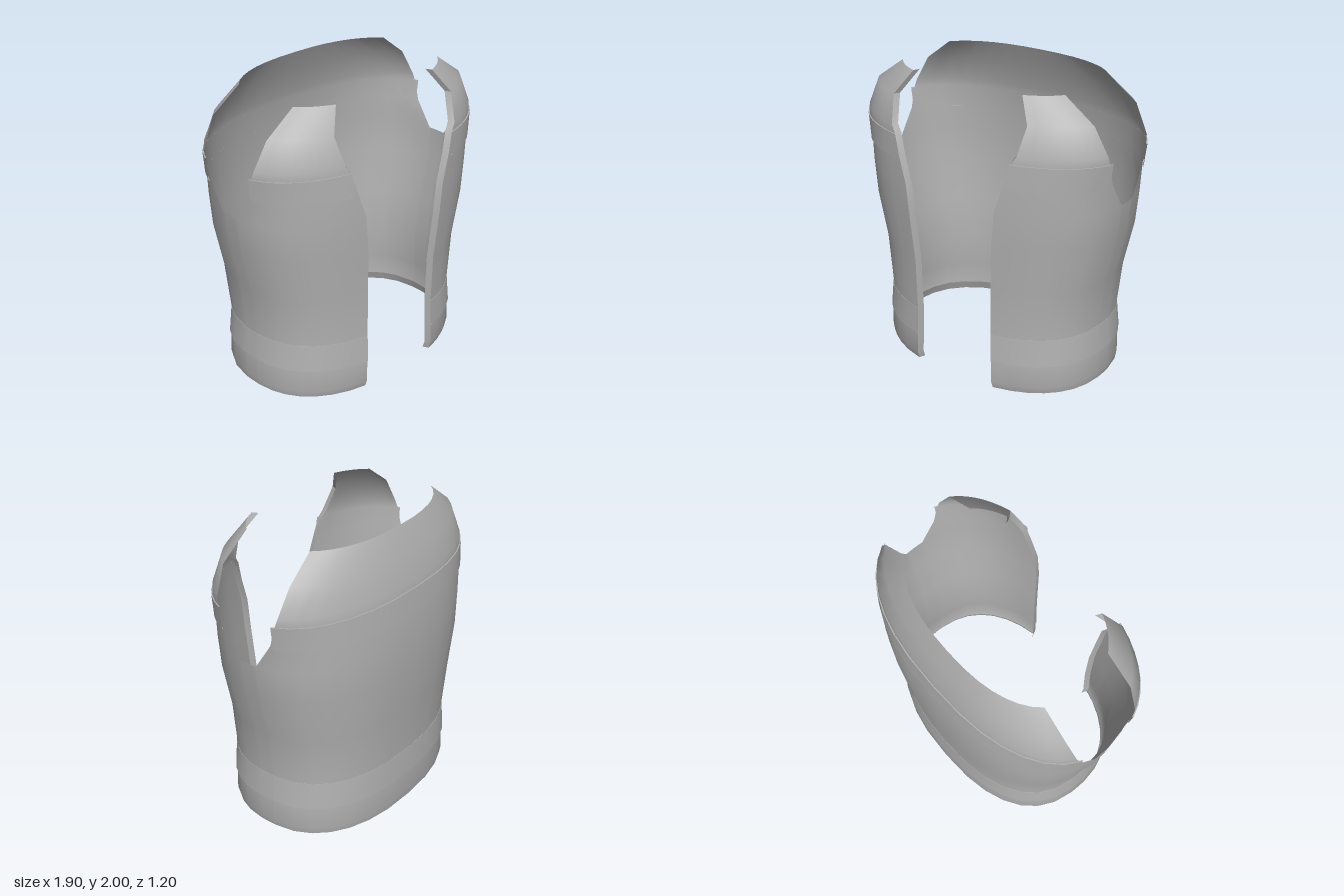
import * as THREE from 'three';
import { toCreasedNormals } from 'three/addons/utils/BufferGeometryUtils.js';

// height, half width, front depth, back depth, half width of the front opening
const PROFILE = [
  [0, 0.82, 0.6, 0.565, 0.312],
  [0.05, 0.83, 0.615, 0.572, 0.31],
  [0.21, 0.822, 0.61, 0.566, 0.306],
  [0.4, 0.81, 0.605, 0.56, 0.302],
  [0.75, 0.845, 0.605, 0.585, 0.306],
  [1.07, 0.915, 0.623, 0.6, 0.325],
  [1.3, 0.937, 0.625, 0.597, 0.347],
  [1.48, 0.95, 0.622, 0.582, 0.405],
  [1.62, 0.97, 0.612, 0.565, 0.445],
  [1.67, 0.97, 0.607, 0.555, 0.48],
  [1.85, 0.9, 0.555, 0.5, 0.51],
  [2, 0.7, 0.465, 0.435, 0.415],
];
// height, front edge z and back edge z of the armhole
const ARMHOLE = [
  [1.3, 0.08, -0.055],
  [1.48, 0.19, -0.17],
  [1.67, 0.245, -0.225],
  [1.85, 0.265, -0.245],
  [2, 0.26, -0.235],
];
const POWER = 2.4; // roundness of the cross-section
const STEPS = 7; // columns per panel

function sample(table, y, k) {
  if (y <= table[0][0]) return table[0][k];
  for (let i = 1; i < table.length; i++) {
    const a = table[i - 1], b = table[i];
    if (y <= b[0]) return a[k] + ((b[k] - a[k]) * (y - a[0])) / (b[0] - a[0]);
  }
  return table[table.length - 1][k];
}

// Point on the garment: t runs 0..1 over the front panel, 1..2 under the arm, 2..3 to the back centre
function surfacePoint(t, side, { y, off = 0 }, cut = {}) {
  const [w, front, back, open] = [1, 2, 3, 4].map((k) => sample(PROFILE, y, k));
  const zFront = cut.front ?? sample(ARMHOLE, y, 1);
  const zBack = cut.back ?? sample(ARMHOLE, y, 2);
  const stops = [
    Math.acos(Math.pow((cut.open ?? open) / w, POWER / 2)),
    Math.asin(Math.pow(zFront / front, POWER / 2)),
    -Math.asin(Math.pow(-zBack / back, POWER / 2)),
    -Math.PI / 2,
  ];
  const i = Math.min(2, Math.floor(t));
  const angle = stops[i] + (stops[i + 1] - stops[i]) * (t - i);
  const c = Math.max(0, Math.cos(angle)), s = Math.sin(angle);
  const x = (w + off) * Math.pow(c, 2 / POWER);
  const z = Math.sign(s) * ((s > 0 ? front : back) + off) * Math.pow(Math.abs(s), 2 / POWER);
  return [side * x, y, z];
}

// Join rows of points into a surface, leaving out the cells that skip() names
function gridGeometry(rows, skip = () => false) {
  const n = rows[0].length, index = [];
  for (let j = 0; j < rows.length - 1; j++) {
    for (let i = 0; i < n - 1; i++) {
      if (skip(i, j)) continue;
      const a = j * n + i, b = a + 1, c = a + n, d = c + 1;
      index.push(a, b, d, a, d, c);
    }
  }
  const geometry = new THREE.BufferGeometry();
  geometry.setAttribute('position', new THREE.Float32BufferAttribute(rows.flat(2), 3));
  geometry.setIndex(index);
  return toCreasedNormals(geometry, 0.6);
}

// Columns as [t, side], running from the left front edge round the back to the right front edge
function columns(from, to) {
  const list = [];
  for (let i = from * STEPS; i <= to * STEPS; i++) list.push(i / STEPS);
  return list;
}
const LEFT = columns(0, 3).map((t) => [t, 1]);
const RIGHT = columns(0, 3).reverse().map((t) => [t, -1]);
const AROUND = [...LEFT, ...RIGHT.slice(1)];
const BACK = AROUND.filter(([t]) => t >= 2);

const wrap = (cols, levels, cut) =>
  levels.map((level) => cols.map(([t, side]) => surfacePoint(t, side, level, cut)));

export function createModel() {
  const group = new THREE.Group();
  const cloth = new THREE.MeshStandardMaterial({ color: 0xb0b0b0, side: THREE.DoubleSide });
  cloth.name = 'grey cloth';
  const add = (name, geometry) => {
    const mesh = new THREE.Mesh(geometry, cloth);
    mesh.name = name;
    group.add(mesh);
  };

  // Main shell with open armholes above the underarm
  const levels = PROFILE.map(([y]) => ({ y }));
  add('vestShell', gridGeometry(wrap(AROUND, levels), (i, j) => {
    const t = (AROUND[i][0] + AROUND[i + 1][0]) / 2;
    return t > 1 && t < 2 && levels[j].y >= 1.3;
  }));

  // Turned-in hem along the bottom
  add('bottomHem', gridGeometry(wrap(AROUND, [{ y: 0.065, off: -0.03 }, { y: 0 }])));

  // Waist band, flaring out at its lower edge
  add('waistBand', gridGeometry(wrap(AROUND, [
    { y: 0.21 }, { y: 0.21, off: 0.01 }, { y: 0.4, off: 0.002 }, { y: 0.4 },
  ])));

  // Chest bands: one across the back, one on each front panel
  const bandLevels = [
    { y: 1.46 }, { y: 1.46, off: 0.008 }, { y: 1.54, off: 0.008 },
    { y: 1.62, off: 0.008 }, { y: 1.62 },
  ];
  const cut = { open: 0.438, front: 0.215, back: -0.19 };
  add('backChestBand', gridGeometry(wrap(BACK, bandLevels, cut)));

  for (const side of [1, -1]) {
    const name = side > 0 ? 'left' : 'right';
    const panel = AROUND.filter(([t, s]) => t <= 1 && s === side);
    add(name + 'ChestBand', gridGeometry(wrap(panel, bandLevels, cut)));

    // Turned-in facing along the front opening
    const facing = levels.map((level) => {
      const [x, y, z] = surfacePoint(0, side, level);
      const inner = [x - side * 0.018, y, z - 0.04];
      return side > 0 ? [inner, [x, y, z]] : [[x, y, z], inner];
    });
    add(name + 'FrontFacing', gridGeometry(facing));
  }
  return group;
}
